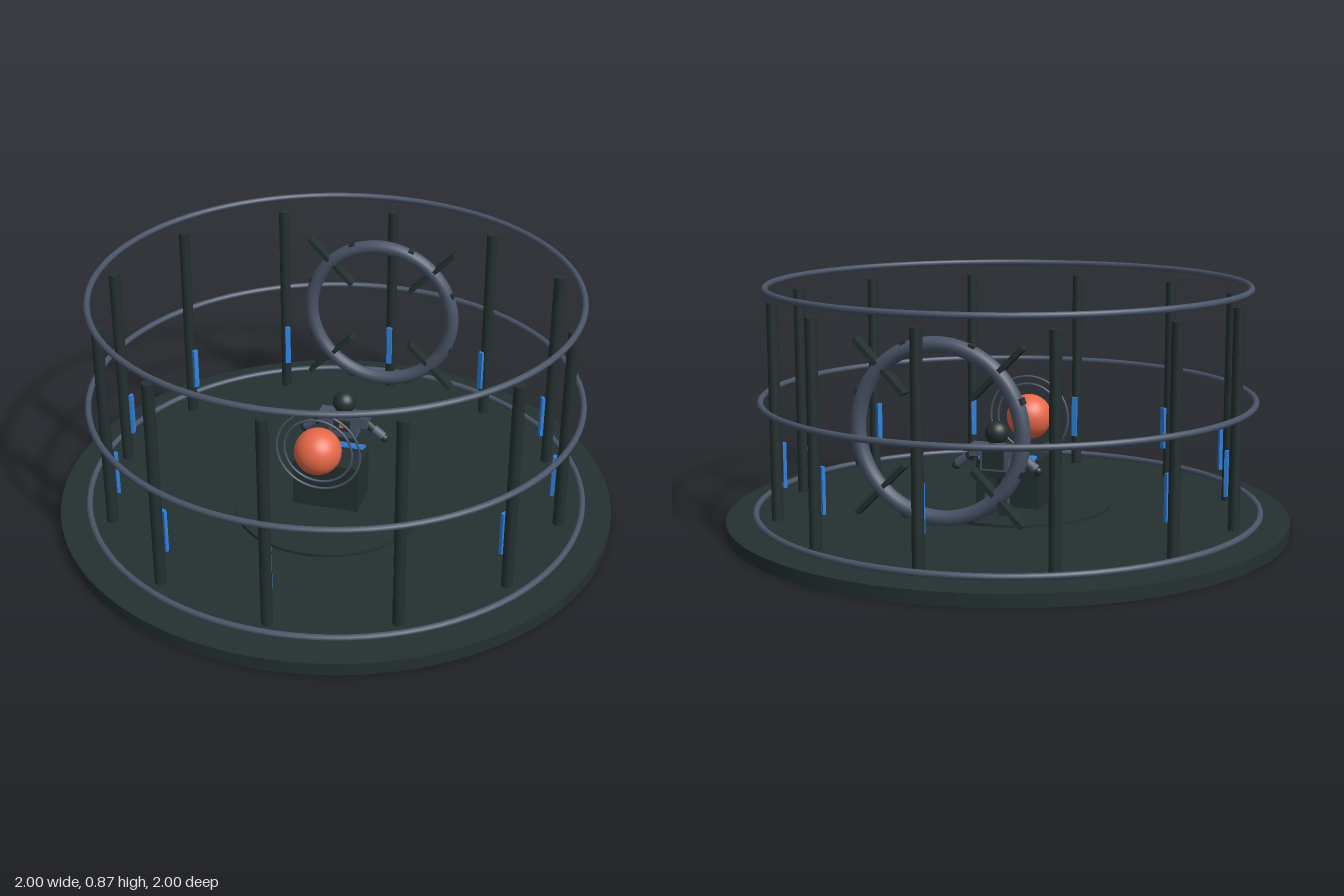
import * as THREE from 'three';

const mat = (name, color) => {
  const m = new THREE.MeshStandardMaterial({ color });
  m.name = name;
  return m;
};

export function createModel() {
  const root = new THREE.Group();
  root.name = 'controlArena';
  const dark = mat('darkMetal', 0x243030);
  const slate = mat('slateMetal', 0x4a5568);
  const blue = mat('blueLight', 0x3182e0);
  const orange = mat('orangeGlow', 0xe8694a);

  const add = (parent, name, geo, material, x = 0, y = 0, z = 0) => {
    const mesh = new THREE.Mesh(geo, material);
    mesh.name = name;
    mesh.position.set(x, y, z);
    parent.add(mesh);
    return mesh;
  };
  const group = (name, x = 0, y = 0, z = 0) => {
    const g = new THREE.Group();
    g.name = name;
    g.position.set(x, y, z);
    root.add(g);
    return g;
  };
  const box = (w, h, d) => new THREE.BoxGeometry(w, h, d);
  const ball = (r) => new THREE.SphereGeometry(r, 24, 16);
  // Round limb between two points
  const limb = (parent, name, a, b, r, material) => {
    const p = new THREE.Vector3(...a), q = new THREE.Vector3(...b);
    const dir = q.clone().sub(p);
    const mesh = add(parent, name, new THREE.CylinderGeometry(r, r, dir.length(), 12), material);
    mesh.position.copy(p).add(q).multiplyScalar(0.5);
    mesh.quaternion.setFromUnitVectors(new THREE.Vector3(0, 1, 0), dir.normalize());
  };

  // Floor and raised centre
  add(root, 'platform', new THREE.CylinderGeometry(1, 1, 0.045, 96), dark, 0, 0.0225, 0);
  add(root, 'centreDais', new THREE.CylinderGeometry(0.343, 0.343, 0.012, 64), dark, 0, 0.05, 0.092);

  // Perimeter rails
  for (const [y, r] of [[0.065, 0.895], [0.46, 0.87], [0.855, 0.845]]) {
    add(root, 'railRing', new THREE.TorusGeometry(r, 0.011, 10, 96), slate, 0, y, 0).rotation.x = Math.PI / 2;
  }

  // Posts with light strips on their inner sides
  for (let i = 0; i < 12; i++) {
    const post = group('post');
    post.rotation.y = i * Math.PI / 6;
    add(post, 'pillar', new THREE.CylinderGeometry(0.02, 0.02, 0.765, 12), dark, 0, 0.4275, 0.82);
    add(post, 'lightStrip', box(0.02, 0.16, 0.012), blue, 0, 0.24, 0.79);
  }

  // Upright gate ring with fins and clamps
  const gate = group('gate', 0, 0.454, -0.645);
  add(gate, 'gateRing', new THREE.TorusGeometry(0.281, 0.026, 14, 72), slate);
  for (let i = 0; i < 4; i++) {
    const fin = new THREE.Group();
    fin.name = 'finArm';
    fin.rotation.z = Math.PI / 4 + i * Math.PI / 2;
    add(fin, 'fin', box(0.24, 0.016, 0.044), dark, 0.283, 0, 0);
    gate.add(fin);
  }
  for (let i = 0; i < 8; i++) {
    const a = Math.PI / 8 + i * Math.PI / 4;
    add(gate, 'clamp', box(0.012, 0.022, 0.034), dark,
      0.302 * Math.cos(a), 0.302 * Math.sin(a), 0).rotation.z = a;
  }

  // Floating orb and its hoops
  const orb = group('orb', 0, 0.344, 0.23);
  add(orb, 'core', new THREE.SphereGeometry(0.083, 40, 28), orange);
  for (const r of [0.15, 0.122]) {
    add(orb, 'hoop', new THREE.TorusGeometry(r, 0.0045, 8, 64), slate);
  }

  // Console
  const desk = group('console');
  add(desk, 'consoleBody', box(0.24, 0.185, 0.15), dark, 0, 0.1425, 0.068);
  add(desk, 'consoleLip', box(0.22, 0.014, 0.05), dark, 0, 0.225, -0.002).rotation.x = -0.3;
  add(desk, 'controlScreen', box(0.21, 0.009, 0.042), blue, 0, 0.237, -0.007).rotation.x = -0.3;

  // Operator standing behind the console
  const man = group('operator', 0, 0, -0.115);
  add(man, 'head', ball(0.042), dark, 0, 0.35, 0);
  add(man, 'collar', new THREE.CylinderGeometry(0.026, 0.03, 0.02, 16), slate, 0, 0.31, 0);
  add(man, 'torso', box(0.105, 0.09, 0.06), slate, 0, 0.262, 0);
  add(man, 'backpack', box(0.075, 0.075, 0.022), dark, 0, 0.265, -0.035);
  add(man, 'chestPlate', box(0.06, 0.04, 0.014), dark, 0, 0.27, 0.034);
  add(man, 'chestLight', box(0.014, 0.014, 0.006), orange, 0, 0.272, 0.043);
  add(man, 'hips', box(0.085, 0.03, 0.05), dark, 0, 0.208, 0);
  for (const s of [-1, 1]) {
    add(man, 'shoulder', box(0.042, 0.042, 0.06), slate, s * 0.072, 0.287, 0);
    limb(man, 'upperArm', [s * 0.08, 0.28, 0], [s * 0.115, 0.25, 0], 0.016, dark);
    limb(man, 'forearm', [s * 0.11, 0.255, 0], [s * 0.146, 0.228, 0], 0.018, slate);
    add(man, 'hand', ball(0.016), dark, s * 0.152, 0.223, 0);
    limb(man, 'thigh', [s * 0.025, 0.21, 0], [s * 0.03, 0.135, 0], 0.022, dark);
    limb(man, 'shin', [s * 0.03, 0.14, 0], [s * 0.03, 0.07, 0], 0.017, slate);
    add(man, 'boot', box(0.036, 0.024, 0.066), dark, s * 0.03, 0.067, 0.016);
  }

  return root;
}
